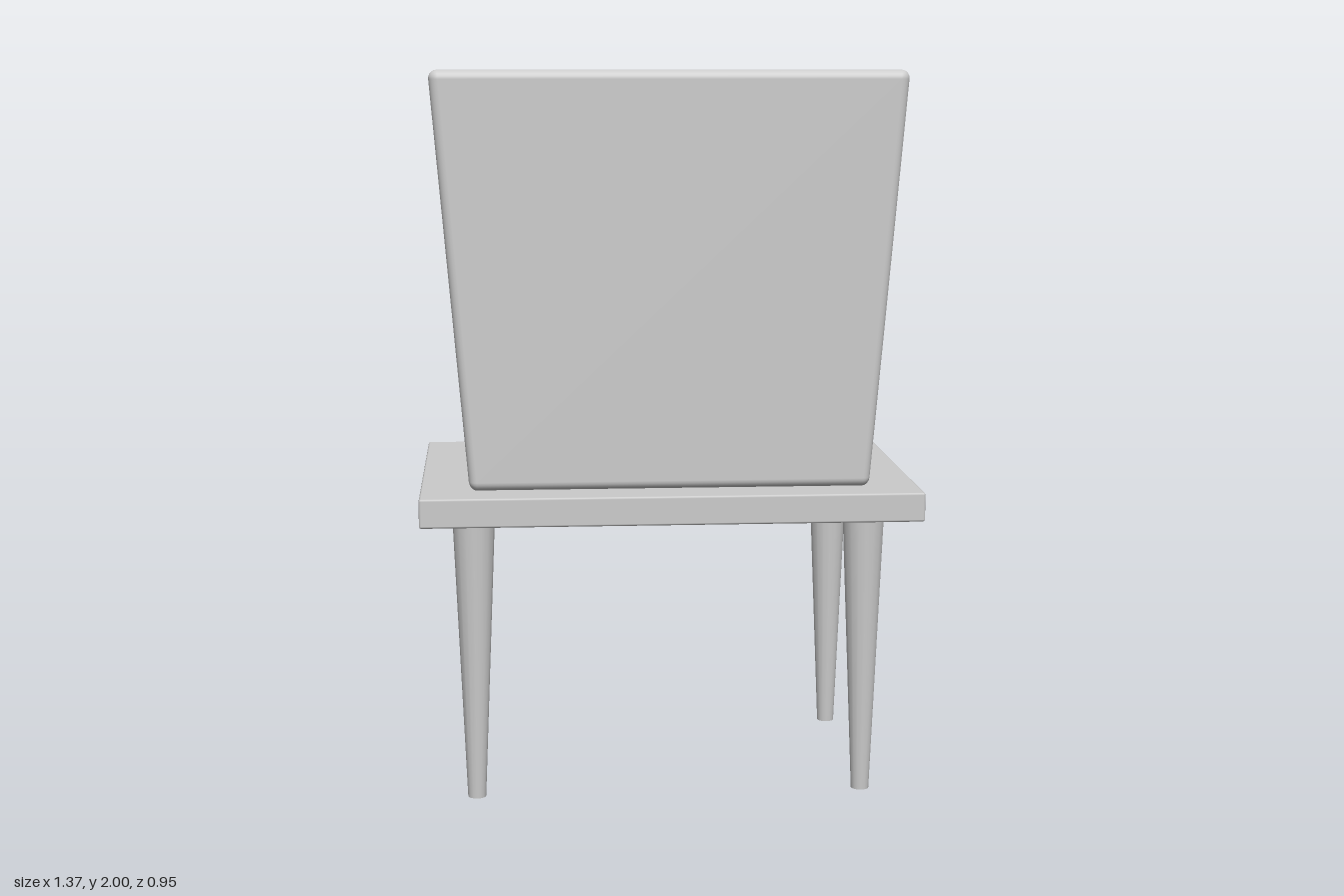
import * as THREE from 'three';
import { RoundedBoxGeometry } from 'three/addons/geometries/RoundedBoxGeometry.js';

const material = new THREE.MeshStandardMaterial({ color: 0xcccccc });

function add(parent, name, geometry, x = 0, y = 0, z = 0) {
  const mesh = new THREE.Mesh(geometry, material);
  mesh.name = name;
  mesh.position.set(x, y, z);
  parent.add(mesh);
  return mesh;
}

// Rounded box whose sides lean outwards from the bottom width to the top width
function taperedBox(bottom, top, height, depth, radius) {
  const geo = new RoundedBoxGeometry(top, height, depth, 3, radius);
  const p = geo.attributes.position, n = geo.attributes.normal;
  const slope = (1 - bottom / top) / height;
  const v = new THREE.Vector3();
  for (let i = 0; i < p.count; i++) {
    const x = p.getX(i), s = 1 + slope * (p.getY(i) - height / 2);
    v.fromBufferAttribute(n, i);
    v.set(v.x / s, v.y - (x * slope * v.x) / s, v.z).normalize();
    n.setXYZ(i, v.x, v.y, v.z);
    p.setX(i, x * s);
  }
  return geo;
}

// Bulging picture tube: rounded-square rings shrinking towards the middle, facing -z
function screenGeometry() {
  const rings = [[1, 0], [0.97, 0.018], [0.86, 0.042], [0.66, 0.073], [0.45, 0.095], [0.2, 0.1], [0, 0.101]];
  const sides = 32, positions = [], index = [];
  const power = (c) => Math.sign(c) * Math.pow(Math.abs(c), 0.46);
  rings.forEach(([scale, bulge], r) => {
    for (let i = 0; i < sides; i++) {
      const a = ((i + 0.5) / sides) * Math.PI * 2;
      const y = 0.4 * scale * power(Math.sin(a));
      const x = (0.445 + 0.05 * y) * scale * power(Math.cos(a));
      positions.push(x, y, -bulge);
      if (r === 0) continue;
      const j = (i + 1) % sides, o = (r - 1) * sides, q = r * sides;
      index.push(o + i, q + i, o + j);
      if (r < rings.length - 1) index.push(o + j, q + i, q + j);
    }
  });
  const geo = new THREE.BufferGeometry();
  geo.setAttribute('position', new THREE.Float32BufferAttribute(positions, 3));
  geo.setIndex(index);
  geo.computeVertexNormals();
  return geo;
}

// Knob turned from a short profile and pointed towards -z
function knobGeometry(radius, length) {
  const profile = [[0.7, 0], [0.75, 0.25], [1, 0.4], [0.9, 0.7], [0.5, 0.95], [0, 1]]
    .map(([r, h]) => new THREE.Vector2(r * radius, h * length));
  return new THREE.LatheGeometry(profile, 10).rotateX(-Math.PI / 2);
}

export function createModel() {
  const model = new THREE.Group();
  model.name = 'televisionOnTable';

  // Table
  const table = new THREE.Group();
  table.name = 'table';
  model.add(table);
  add(table, 'tableTop', new RoundedBoxGeometry(1.37, 0.08, 0.95, 1, 0.006), 0, 0.825, 0);
  const leg = new THREE.CylinderGeometry(0.058, 0.025, 0.79, 16);
  for (const x of [-0.54, 0.535])
    for (const z of [-0.322, 0.35]) add(table, 'tableLeg', leg, x, 0.395, z);

  // Television set
  const set = new THREE.Group();
  set.name = 'television';
  model.add(set);
  add(set, 'cabinet', taperedBox(1.1, 1.295, 1.137, 0.645, 0.025), 0, 1.4315, 0.0425);
  add(set, 'bezel', taperedBox(1.0, 1.165, 1.05, 0.065, 0.015), 0, 1.425, -0.3025);
  add(set, 'screen', screenGeometry(), 0, 1.45, -0.334);

  // Controls along the lower edge
  const bigKnob = knobGeometry(0.052, 0.053);
  for (const x of [0.38, 0.235]) add(set, 'largeKnob', bigKnob, x, 0.978, -0.334);
  const smallKnob = knobGeometry(0.03, 0.045);
  for (const x of [0.05, -0.045, -0.15]) add(set, 'smallKnob', smallKnob, x, 0.96, -0.334);
  add(set, 'plate', new THREE.BoxGeometry(0.17, 0.06, 0.012), -0.32, 0.96, -0.336);

  return model;
}
